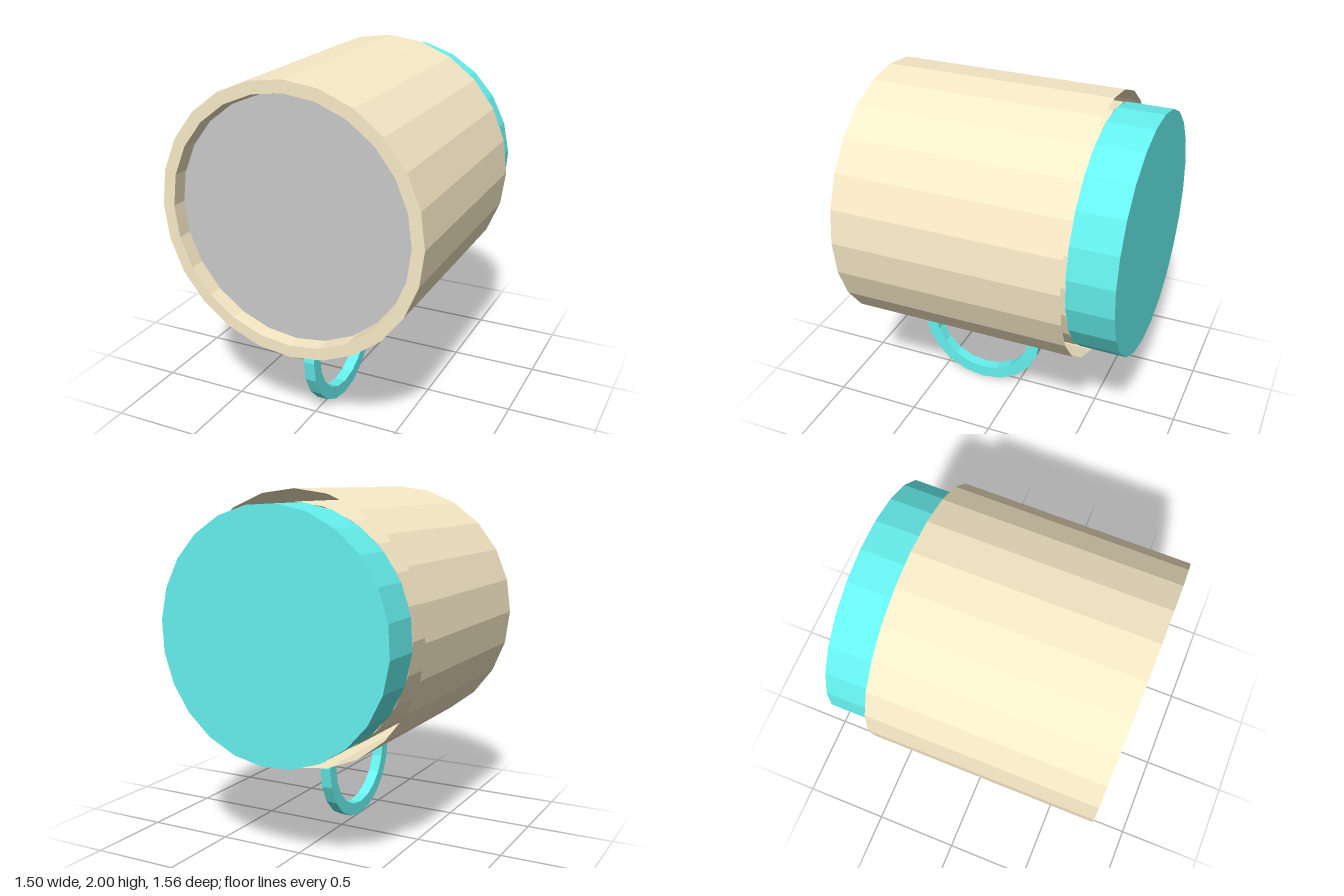
import * as THREE from 'three';

const SIDES = 24;
const AXIS_Y = 1.25;
const FRONT = 0.78, JOIN = -0.52, BACK = -0.78;

function material(color) {
  return new THREE.MeshStandardMaterial({ color, flatShading: true, side: THREE.DoubleSide });
}

export function createModel() {
  const group = new THREE.Group();
  const cream = material(0xfaecc8);
  const cyan = material(0x66f2f0);
  const grey = material(0xcccccc);

  const add = (name, geometry, mat, x = 0, y = 0, z = 0) => {
    const mesh = new THREE.Mesh(geometry, mat);
    mesh.name = name;
    mesh.position.set(x, y, z);
    group.add(mesh);
    return mesh;
  };

  // Double-walled barrel with a flat front rim, open between the walls at the back
  const profile = [[0.75, JOIN], [0.75, FRONT], [0.682, FRONT], [0.682, JOIN]]
    .map(([r, z]) => new THREE.Vector2(r, z));
  add('body', new THREE.LatheGeometry(profile, SIDES).rotateX(Math.PI / 2), cream, 0, AXIS_Y, 0);

  // Round panel set a little way inside the front rim
  add('frontPanel', new THREE.CircleGeometry(0.672, SIDES), grey, -0.01, 1.24, FRONT - 0.09);

  // Closed cap on the back, its facets turned slightly from the body's
  const cap = new THREE.CylinderGeometry(0.682, 0.682, JOIN - BACK, SIDES, 1, false, 0.075)
    .rotateX(Math.PI / 2);
  add('backCap', cap, cyan, 0, AXIS_Y, (JOIN + BACK) / 2);

  // D-shaped handle: a flat bar closed by a faceted half ring
  const loop = (radius, topHalf, topY) => {
    const points = [new THREE.Vector2(-topHalf, topY)];
    for (let i = -5; i <= 5; i++) {
      const a = i * Math.PI / 10;
      points.push(new THREE.Vector2(radius * Math.sin(a), -radius * Math.cos(a)));
    }
    points.push(new THREE.Vector2(topHalf, topY));
    return points;
  };
  const outline = new THREE.Shape(loop(0.386, 0.367, 0.115));
  outline.holes.push(new THREE.Path(loop(0.312, 0.309, 0.035)));
  const handle = new THREE.ExtrudeGeometry(outline, { depth: 0.065, bevelEnabled: false })
    .rotateY(Math.PI / 2);
  add('handle', handle, cyan, -0.005, 0.386, 0.235);

  return group;
}
